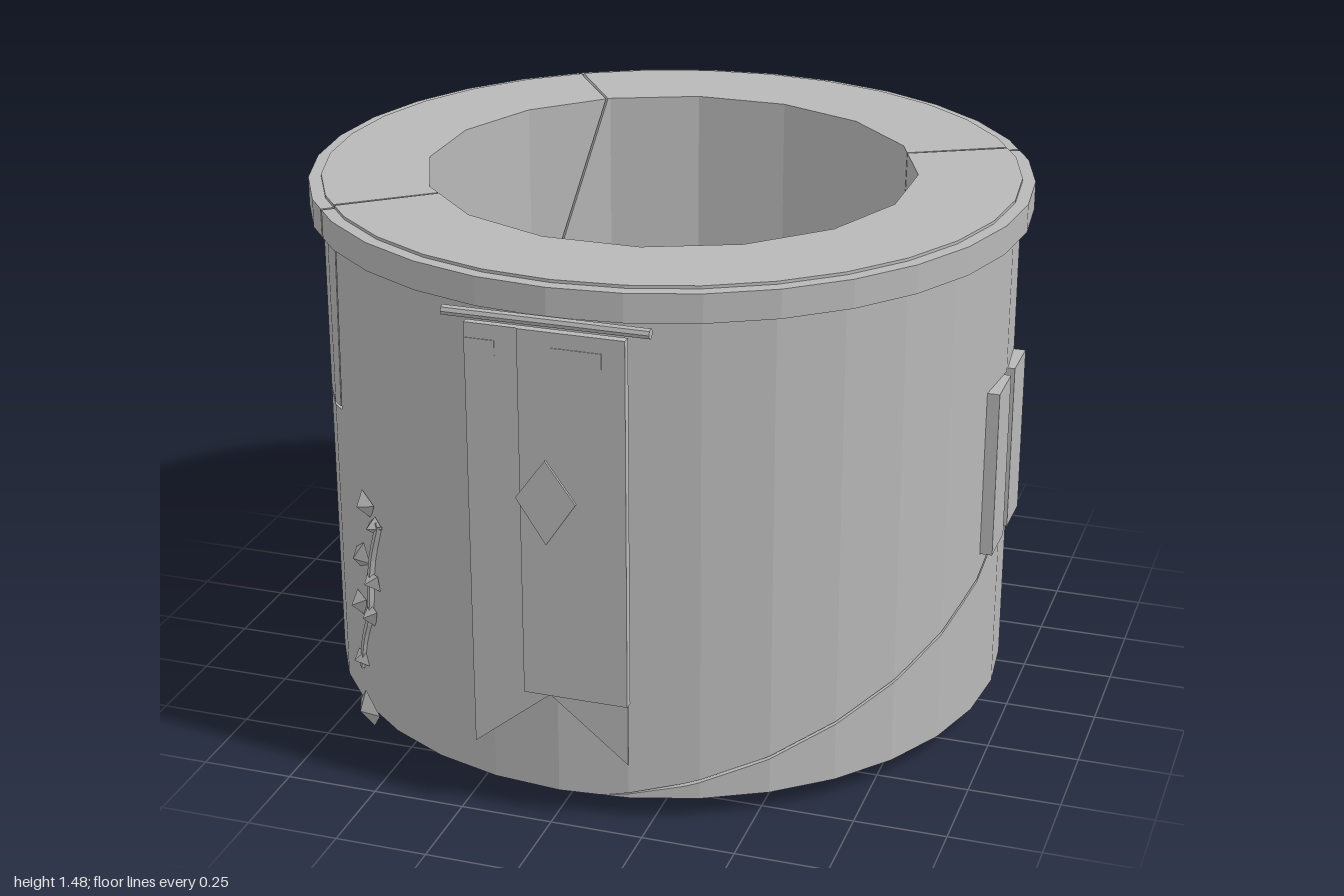
import * as THREE from 'three';

const D = Math.PI / 180, CZ = -0.015, TOP = 1.485, LOW = 0.06, R = 0.95;
const stone = new THREE.MeshStandardMaterial({ color: 0xb8b8b8, side: THREE.DoubleSide });
stone.name = 'stone grey';
stone.flatShading = true;

// radius of an n-sided ring with corners at offset + k * 360 / n degrees
const ring = (r, n, offset) => a => {
  const step = 360 / n, t = (((a - offset) % step) + step) % step - step / 2;
  return r * Math.cos(step / 2 * D) / Math.cos(t * D);
};
const outer = ring(R, 32, 0), inner = ring(0.67, 16, 11.25);
const place = (r, a, y) => [r * Math.sin(a * D), y, r * Math.cos(a * D) + CZ];

// keep the part of a polygon where sign * (coordinate - limit) >= 0
function clip(poly, axis, limit, sign) {
  const out = [];
  poly.forEach((p, i) => {
    const q = poly[(i + 1) % poly.length];
    const dp = sign * (p[axis] - limit), dq = sign * (q[axis] - limit);
    if (dp >= 0) out.push(p);
    if (dp * dq < 0) {
      const t = dp / (dp - dq), m = [p[0] + (q[0] - p[0]) * t, p[1] + (q[1] - p[1]) * t];
      m[axis] = limit;
      out.push(m);
    }
  });
  return out;
}

// shrink a counter-clockwise (angle, height) outline to open a crack around it
function inset(poly, d) {
  const k = R * D, n = poly.length;
  return poly.map((p, i) => {
    const a = poly[(i + n - 1) % n], b = poly[(i + 1) % n];
    const u = new THREE.Vector2((p[0] - a[0]) * k, p[1] - a[1]).normalize();
    const v = new THREE.Vector2((b[0] - p[0]) * k, b[1] - p[1]).normalize();
    const m = new THREE.Vector2(-u.y - v.y, u.x + v.x);
    const s = d * 2 / Math.max(m.lengthSq(), 0.5);
    const fixed = p[1] === TOP || p[1] === LOW;
    return [p[0] + m.x * s / k, fixed ? p[1] : p[1] + m.y * s];
  });
}

// arrow slits at the front and both sides
const SLIT = 2.3, SILL = 0.53, HEAD = 1.0;
const slitAngles = [-90, 0, 90, 270];
const bounds = [];
for (let a = -180; a <= 360; a += 11.25) bounds.push(a);
slitAngles.forEach(a => bounds.push(a - SLIT, a + SLIT));
bounds.sort((a, b) => a - b);

// bend an (angle, height) outline into a curved slab
function slab(poly, rOut, rIn, slits) {
  const pos = [];
  const tri = (...p) => p.forEach(v => pos.push(...v));
  for (let i = 0; i + 1 < bounds.length; i++) {
    const a0 = bounds[i], a1 = bounds[i + 1], mid = (a0 + a1) / 2;
    const column = clip(clip(poly, 0, a0, 1), 0, a1, -1);
    if (column.length < 3) continue;
    const isSlit = slits && slitAngles.some(a => Math.abs(mid - a) < SLIT);
    const parts = isSlit ? [clip(column, 1, SILL, -1), clip(column, 1, HEAD, 1)] : [column];
    for (const part of parts) {
      if (part.length < 3) continue;
      const O = part.map(p => place(rOut(p[0]), p[0], p[1]));
      const I = part.map(p => place(rIn(p[0]), p[0], p[1]));
      const faces = THREE.ShapeUtils.triangulateShape(part.map(p => new THREE.Vector2(p[0], p[1])), []);
      faces.forEach(([a, b, c]) => { tri(O[a], O[b], O[c]); tri(I[a], I[c], I[b]); });
      part.forEach((p, j) => {
        const k = (j + 1) % part.length, q = part[k];
        const onSeam = [a0, a1].some(s => Math.abs(p[0] - s) < 1e-6 && Math.abs(q[0] - s) < 1e-6);
        if (!onSeam) { tri(O[j], I[j], I[k]); tri(O[j], I[k], O[k]); }
      });
    }
  }
  const g = new THREE.BufferGeometry();
  g.setAttribute('position', new THREE.Float32BufferAttribute(pos, 3));
  g.computeVertexNormals();
  return g;
}

export function createModel() {
  const model = new THREE.Group();
  model.name = 'towerSection';
  const add = (name, geometry, parent = model) => {
    const m = new THREE.Mesh(geometry, stone);
    m.name = name;
    parent.add(m);
    return m;
  };
  const box = (w, h, d, x, y, z) => new THREE.BoxGeometry(w, h, d).translate(x, y, z);

  // crack lines shared by neighbouring wall pieces
  const rightCrack = [[7, LOW], [20, 0.10], [33, 0.16], [46, 0.235], [59.7, 0.32], [74, 0.42], [88, 0.53], [99.4, 0.63]];
  const backCrack = [[132.8, 0.52], [156, 0.56], [180, 0.58], [208, 0.56], [234.3, 0.52]];
  const leftCrack = [[240.7, 0.65], [260, 0.70], [278, 0.79], [292, 0.86], [307.4, 0.90]];
  const rightJoint = [123.5, 0.77];
  const pieces = {
    frontWall: [...rightCrack, rightJoint, [118, TOP], [-51, TOP],
      ...leftCrack.map(([a, y]) => [a - 360, y]).reverse(), [-125.7, 0.52], [-127.3, LOW]],
    lowerRightWall: [[7, LOW], [132.8, LOW], [132.8, 0.52], rightJoint, ...rightCrack.slice(1).reverse()],
    lowerBackWall: [[132.8, LOW], [232.7, LOW], ...backCrack.slice().reverse()],
    upperBackWall: [...backCrack, leftCrack[0], [214.5, TOP], [118, TOP], rightJoint],
    upperLeftWall: [...leftCrack, [309, TOP], [214.5, TOP]],
  };
  for (const [name, poly] of Object.entries(pieces)) add(name, slab(inset(poly, 0.004), outer, inner, true));

  // rim, split where the cracks reach the top
  const rimOut = ring(0.985, 32, 0), rimIn = ring(0.945, 32, 0);
  [[-51, 118], [118, 214.5], [214.5, 309]].forEach(([a, b]) =>
    add('rim', slab([[a + 0.25, 1.4], [b - 0.25, 1.4], [b - 0.25, 1.477], [a + 0.25, 1.477]], rimOut, rimIn, false)));

  // slit reveals and the shutters beside them
  for (const a of [-90, 0, 90]) {
    const win = new THREE.Group();
    win.name = 'window';
    win.position.z = CZ;
    win.rotation.y = a * D;
    model.add(win);
    for (const s of [-1, 1]) {
      add('shutter', box(0.145, HEAD - SILL, 0.042, s * 0.0975, (SILL + HEAD) / 2, 0.946), win);
      const depth = outer(SLIT) - inner(SLIT);
      const jamb = new THREE.PlaneGeometry(depth, HEAD - SILL).rotateY(-s * Math.PI / 2)
        .translate(0, (SILL + HEAD) / 2, inner(SLIT) + depth / 2).rotateY(s * SLIT * D);
      add('slitReveal', jamb, win);
    }
  }

  // banner with swallow tail, emblem and rod
  const banner = new THREE.Group();
  banner.name = 'banner';
  model.add(banner);
  const flat = (pts, z, depth) => new THREE.ExtrudeGeometry(
    new THREE.Shape(pts.map(p => new THREE.Vector2(...p))), { depth, bevelEnabled: false }).translate(0, 0, z);
  add('bannerCloth', box(0.28, 1.0, 0.024, 0.07, 0.87, 0.98), banner);
  add('bannerFold', box(0.14, 1.0, 0.020, -0.14, 0.87, 0.978), banner);
  for (const s of [-1, 1]) add('bannerTail', flat([[0, 0.37], [s * 0.21, 0.37], [s * 0.21, 0.2]], 0.982, 0.005), banner);
  add('bannerEmblem', flat([[0, 0.8], [0.08, 0.92], [0, 1.03], [-0.08, 0.92]], 0.99, 0.009), banner);
  add('bannerBand', box(0.08, 0.04, 0.004, -0.17, 1.31, 0.988), banner);
  add('bannerBand', box(0.13, 0.04, 0.004, 0.085, 1.31, 0.992), banner);
  add('bannerRod', new THREE.CylinderGeometry(0.014, 0.014, 0.54, 8).rotateZ(Math.PI / 2).translate(0, 1.39, 0.974), banner);

  // ivy climbing the front wall: stem and pointed leaves
  const onWall = (x, y, lift = 0) => new THREE.Vector3(...place(R + lift, Math.asin(x / R) / D, y));
  const stem = [[-0.57, 0.66], [-0.61, 0.53], [-0.63, 0.36], [-0.66, 0.27], [-0.68, 0.17]].map(p => onWall(...p));
  add('ivyStem', new THREE.TubeGeometry(new THREE.CatmullRomCurve3(stem), 12, 0.012, 4));
  const leaves = [[-0.63, 0.69, 0.055, 0.3], [-0.59, 0.645, 0.04, 1.2], [-0.66, 0.52, 0.06, 2.1], [-0.61, 0.47, 0.045, 0.7],
    [-0.68, 0.365, 0.055, 1.6], [-0.625, 0.36, 0.045, 2.6], [-0.68, 0.195, 0.045, 0.9], [-0.66, 0.05, 0.075, 0.2]];
  for (const [x, y, size, turn] of leaves) {
    const leaf = add('ivyLeaf', new THREE.ConeGeometry(size, 0.03, 4).rotateX(Math.PI / 2).rotateZ(turn).scale(1, 0.7, 1));
    leaf.position.copy(onWall(x, y, 0.012));
    leaf.rotation.set(0.15, Math.asin(x / R), turn * 0.4);
  }
  return model;
}
